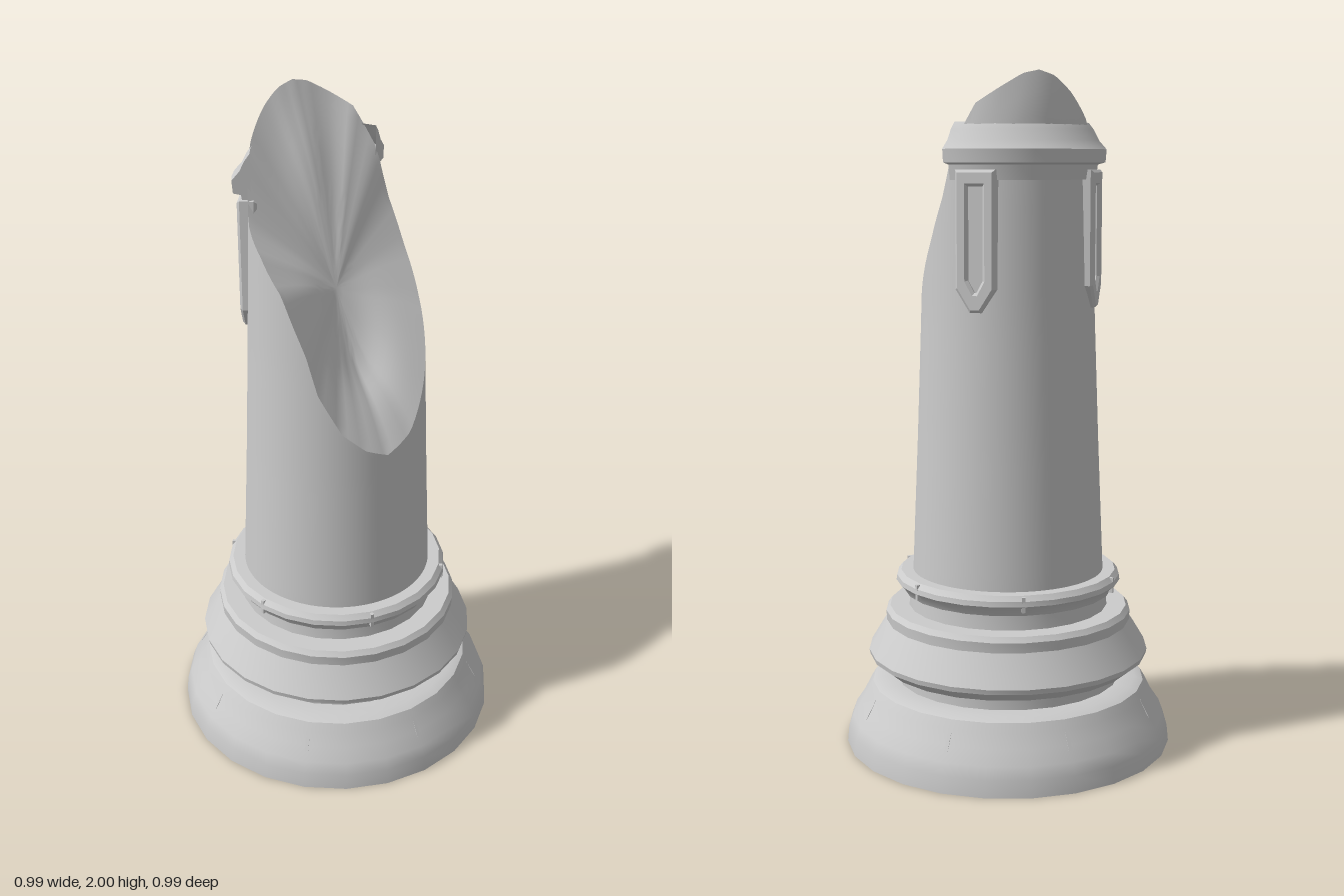
import * as THREE from 'three';
import { toCreasedNormals } from 'three/addons/utils/BufferGeometryUtils.js';

const RAD = Math.PI / 180;
const stone = new THREE.MeshStandardMaterial({ color: 0xcccccc, side: THREE.DoubleSide });

// Height of the broken rim: [angle from +z towards +x in degrees, y]
const RIM = [[45, 1.03], [65, 1.07], [90, 1.2], [120, 1.38], [140, 1.52], [155, 1.66], [163, 1.79],
  [180, 1.91], [200, 1.96], [213, 1.99], [225, 2], [238, 1.985], [252, 1.94], [270, 1.87], [286, 1.78], [294, 1.67],
  [315, 1.61], [335, 1.52], [352, 1.36], [360, 1.24], [375, 1.12], [390, 1.06], [405, 1.03]];
// Shaft radius by height: [y, radius]
const SHAFT = [[0.53, 0.288], [0.95, 0.27], [1.3, 0.257], [1.7, 0.246], [1.86, 0.24], [1.95, 0.232], [2, 0.222]];

function lookup(table, v) {
  let i = 1;
  while (i < table.length - 1 && table[i][0] < v) i++;
  const [a, fa] = table[i - 1], [b, fb] = table[i];
  return fa + (fb - fa) * THREE.MathUtils.clamp((v - a) / (b - a), 0, 1);
}

// Surface from a rule (i, j) -> [x, y, z] on a grid of rows and columns
function gridSurface(rows, cols, rule) {
  const pos = [], index = [];
  for (let j = 0; j <= rows; j++) {
    for (let i = 0; i <= cols; i++) pos.push(...rule(i / cols, j / rows));
  }
  for (let j = 0; j < rows; j++) {
    for (let i = 0; i < cols; i++) {
      const a = j * (cols + 1) + i, c = a + cols + 1;
      index.push(a, a + 1, c + 1, a, c + 1, c);
    }
  }
  const g = new THREE.BufferGeometry();
  g.setAttribute('position', new THREE.Float32BufferAttribute(pos, 3));
  g.setIndex(index);
  return toCreasedNormals(g, 40 * RAD);
}

const polar = (deg, r, y) => [r * Math.sin(deg * RAD), y, r * Math.cos(deg * RAD)];

function add(parent, name, geometry) {
  const mesh = new THREE.Mesh(geometry, stone);
  mesh.name = name;
  parent.add(mesh);
  return mesh;
}

function turned(profile, start = 0, sweep = 360, sides = 24) {
  const pts = profile.map(([r, y]) => new THREE.Vector2(r, y));
  return toCreasedNormals(new THREE.LatheGeometry(pts, sides, start * RAD, sweep * RAD), 32 * RAD);
}

// Thin upright seams set into a ring
function seams(parent, name, count, offset, radius, y, height, tilt) {
  for (let i = 0; i < count; i++) {
    const turn = new THREE.Group();
    turn.rotation.y = (offset + i * 360 / count) * RAD;
    const seam = add(turn, name, new THREE.BoxGeometry(0.01, height, 0.022));
    seam.position.set(0, y, radius);
    seam.rotation.x = -tilt;
    parent.add(turn);
  }
}

// Upright tablet outline with a pointed foot
function tablet(ShapeType, w, top, shoulder, tip) {
  const s = new ShapeType();
  s.moveTo(-w, top);
  s.lineTo(-w, shoulder);
  s.lineTo(-w * 0.25, tip);
  s.lineTo(w * 0.25, tip);
  s.lineTo(w, shoulder);
  s.lineTo(w, top);
  s.closePath();
  return s;
}

function bracket(angle) {
  const group = new THREE.Group();
  group.name = 'bracket';
  const frame = tablet(THREE.Shape, 0.052, 1.72, 1.4, 1.34);
  frame.holes.push(tablet(THREE.Path, 0.03, 1.69, 1.42, 1.38));
  const rim = add(group, 'bracketFrame', new THREE.ExtrudeGeometry(frame,
    { depth: 0.04, bevelEnabled: true, bevelSize: 0.008, bevelThickness: 0.008, bevelSegments: 1 }));
  rim.position.z = 0.222;
  const panel = add(group, 'bracketPanel', new THREE.ExtrudeGeometry(
    tablet(THREE.Shape, 0.04, 1.71, 1.41, 1.36), { depth: 0.04, bevelEnabled: false }));
  panel.position.z = 0.218;
  group.rotation.y = angle * RAD;
  return group;
}

export function createModel() {
  const model = new THREE.Group();
  model.name = 'brokenColumn';

  // Stepped base, hollow and open underneath
  add(model, 'plinth', turned([[0.495, 0], [0.49, 0.05], [0.477, 0.085], [0.45, 0.125], [0.43, 0.165],
    [0.415, 0.19], [0.39, 0.2], [0.34, 0.2]]));
  add(model, 'lowerNeck', turned([[0.34, 0.195], [0.34, 0.245]]));
  add(model, 'moulding', turned([[0.34, 0.245], [0.385, 0.245], [0.422, 0.275], [0.425, 0.29], [0.395, 0.34],
    [0.37, 0.38], [0.372, 0.41], [0.36, 0.425], [0.3, 0.425]]));
  add(model, 'upperNeck', turned([[0.302, 0.42], [0.298, 0.475]]));
  add(model, 'ring', turned([[0.295, 0.47], [0.315, 0.472], [0.328, 0.495], [0.34, 0.505], [0.338, 0.52],
    [0.325, 0.535], [0.28, 0.535]]));
  seams(model, 'plinthSeam', 8, 0, 0.439, 0.125, 0.085, 0.5);
  seams(model, 'ringSeam', 6, 30, 0.327, 0.51, 0.045, 0);

  // Tapered shaft ending at the broken rim
  add(model, 'shaft', gridSurface(24, 96, (u, v) => {
    const deg = 45 + 360 * u;
    const y = THREE.MathUtils.lerp(0.53, lookup(RIM, deg), v);
    return polar(deg, lookup(SHAFT, y), y);
  }));

  // Uneven fracture face, hollowed towards the low side
  add(model, 'fracture', gridSurface(14, 96, (u, v) => {
    const deg = 45 + 360 * u, t = 1 - v;
    const edge = lookup(RIM, deg);
    const p = polar(deg, t * lookup(SHAFT, edge), THREE.MathUtils.lerp(1.47, edge, t));
    const dent = Math.exp(-((p[0] - 0.08) ** 2 + (p[2] - 0.06) ** 2) / 0.008);
    const swell = Math.exp(-((p[0] + 0.1) ** 2 + (p[2] + 0.1) ** 2) / 0.006);
    p[1] += (0.04 * swell - 0.07 * dent) * (1 - t * t);
    return p;
  }));

  // Surviving stretch of collar on the tall side
  const profile = [[0.235, 1.7], [0.256, 1.7], [0.262, 1.742], [0.284, 1.748], [0.287, 1.785],
    [0.265, 1.81], [0.25, 1.84], [0.235, 1.86]];
  const start = 163, sweep = 124;
  add(model, 'collar', turned(profile, start, sweep, 16));
  const section = new THREE.Shape(profile.map(([r, y]) => new THREE.Vector2(r, y)));
  for (const end of [start, start + sweep]) {
    add(model, 'collarEnd', new THREE.ShapeGeometry(section)).rotation.y = (end - 90) * RAD;
  }

  // Pointed brackets under the collar
  for (const angle of [182, 276]) model.add(bracket(angle));
  return model;
}
